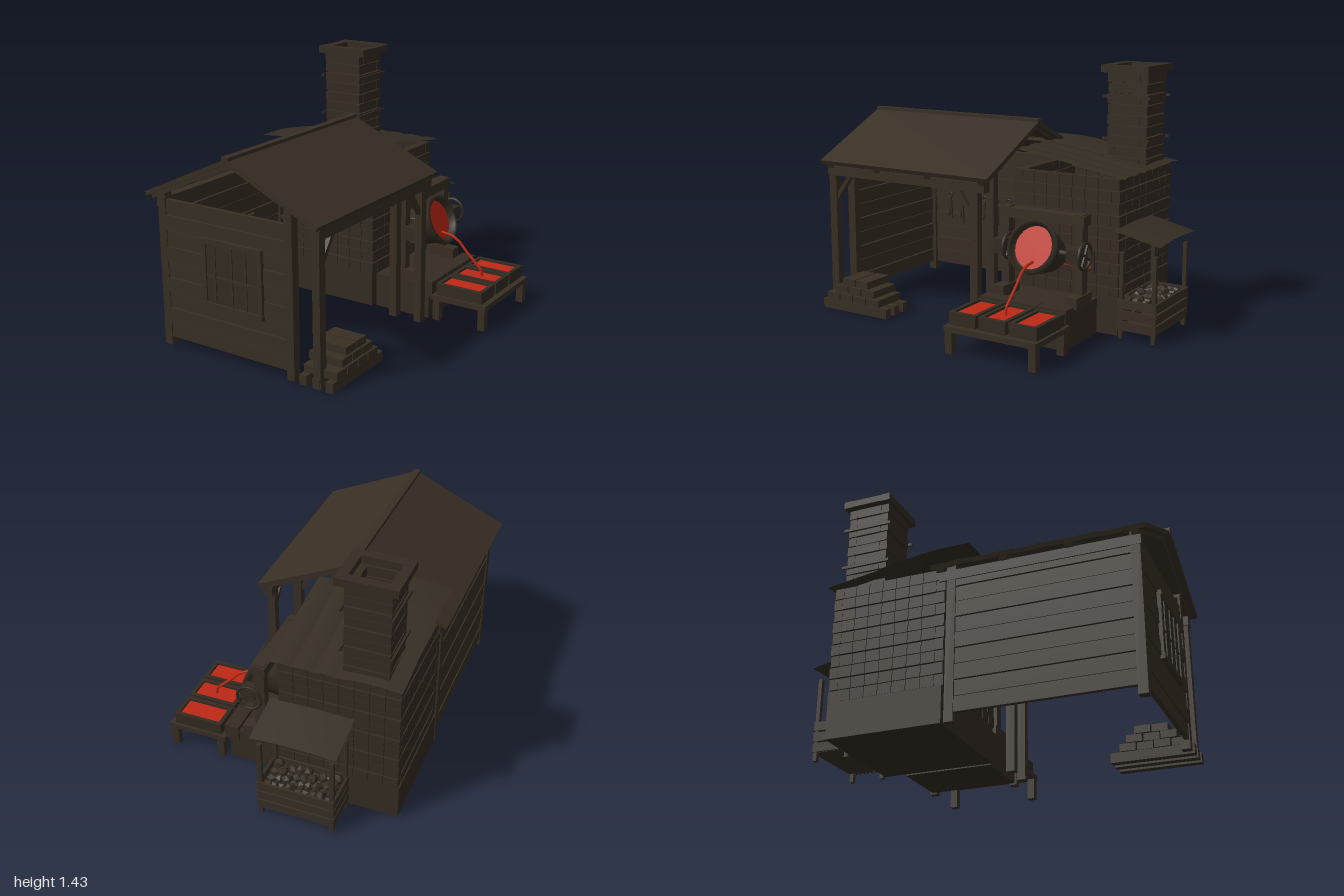
import * as THREE from 'three';

const mat = (name, color) => { const m = new THREE.MeshStandardMaterial({ color }); m.name = name; return m; };

export function createModel() {
  const wood = mat('dark wood', 0x382f24), brick = mat('dark brick', 0x352c22);
  const iron = mat('dark iron', 0x332b22), molten = mat('molten metal', 0xbe2814);
  const sheetMat = mat('roof sheet', 0x352d22);
  sheetMat.side = iron.side = THREE.DoubleSide;
  const root = new THREE.Group();
  const group = (name, parent = root) => { const g = new THREE.Group(); g.name = name; parent.add(g); return g; };
  const add = (parent, name, geo, m) => { const o = new THREE.Mesh(geo, m); o.name = name; parent.add(o); return o; };
  // box given by its two corners
  const box = (p, name, m, x0, x1, y0, y1, z0, z1) => {
    const o = add(p, name, new THREE.BoxGeometry(x1 - x0, y1 - y0, z1 - z0), m);
    o.position.set((x0 + x1) / 2, (y0 + y1) / 2, (z0 + z1) / 2);
    return o;
  };
  // square bar between two points
  const bar = (p, name, m, a, b, w, d = w) => {
    const A = new THREE.Vector3(...a), B = new THREE.Vector3(...b);
    const o = add(p, name, new THREE.BoxGeometry(w, d, A.distanceTo(B)), m);
    o.position.copy(A).add(B).multiplyScalar(0.5);
    o.lookAt(B);
    return o;
  };
  // hollow ring of brick courses
  const brickRing = (p, x0, x1, z0, z1, y0, y1, rows, nx, nz, t) => {
    const g = 0.003, h = (y1 - y0) / rows, dx = (x1 - x0) / nx, dz = (z1 - z0 - 2 * t) / nz;
    for (let r = 0; r < rows; r++) {
      const a = y0 + r * h + g, b = y0 + (r + 1) * h - g, j = r % 2 ? 0.004 : 0;
      for (let i = 0; i < nx; i++) for (const z of [z0 + j, z1 - t - j])
        box(p, 'brick', brick, x0 + i * dx + g / 2, x0 + (i + 1) * dx - g / 2, a, b, z, z + t);
      for (let i = 0; i < nz; i++) for (const x of [x0 + j, x1 - t - j])
        box(p, 'brick', brick, x, x + t, a, b, z0 + t + i * dz + g / 2, z0 + t + (i + 1) * dz - g / 2);
    }
  };

  // Workshop walls: horizontal planks with narrow gaps
  const shed = group('shed');
  const rows = 9, ph = 0.78 / rows;
  for (let i = 0; i < rows; i++) {
    const y0 = 0.05 + i * ph, y1 = y0 + ph - 0.005, j = (i % 2) * 0.005;
    box(shed, 'frontPlank', wood, -0.62, 0.155, y0, y1, 0.925 + j, 0.95 + j);
    box(shed, 'leftPlank', wood, -0.665 + j, -0.64 + j, y0, y1, -0.04, 0.92);
  }
  // Posts, plates and braces
  for (const z of [0.93, -0.05]) {
    box(shed, 'cornerPost', wood, -0.67, -0.62, 0, 0.86, z - 0.025, z + 0.025);
    box(shed, 'innerPost', wood, 0.15, 0.195, 0, 0.9, z - 0.025, z + 0.025);
    box(shed, 'outerPost', wood, 0.312, 0.356, 0, 0.83, z - 0.025, z + 0.025);
    const s = z > 0 ? -1 : 1;
    for (const x of [0.334, -0.63])
      bar(shed, 'brace', wood, [x, 0.65, z + s * 0.02], [x, 0.79, z + s * 0.12], 0.025);
    bar(shed, 'tieBrace', wood, [0.13, 0.87, z], [0.17, 0.82, z], 0.025);
  }
  for (const x of [-0.645, 0.334]) box(shed, 'wallPlate', wood, x - 0.027, x + 0.027, 0.78, 0.835, -0.12, 0.96);

  // Window
  const win = group('window');
  box(win, 'windowPane', iron, -0.35, 0, 0.31, 0.65, 0.956, 0.962);
  for (const y of [0.305, 0.655]) box(win, 'windowRail', wood, -0.375, 0.015, y - 0.014, y + 0.014, 0.95, 0.975);
  for (const x of [-0.36, 0]) box(win, 'windowStile', wood, x - 0.013, x + 0.013, 0.3, 0.66, 0.95, 0.97);
  for (const x of [-0.29, -0.18, -0.09]) box(win, 'muntin', wood, x - 0.005, x + 0.005, 0.31, 0.65, 0.955, 0.968);
  box(win, 'muntin', wood, -0.36, 0, 0.46, 0.47, 0.955, 0.967);

  // Gable roof: planks on the left slope, one plain sheet on the right
  const roof = group('roof');
  const ridge = [-0.17, 1.115], slope = Math.atan2(0.25, 0.545), len = 0.605;
  const roofSlab = (name, s, z0, z1, t, drop) => {
    const o = add(roof, name, new THREE.BoxGeometry(len, t, z1 - z0), wood);
    o.position.set(ridge[0] + s * Math.cos(slope) * len / 2 - s * Math.sin(slope) * drop,
      ridge[1] - Math.sin(slope) * len / 2 - Math.cos(slope) * drop, (z0 + z1) / 2);
    o.rotation.z = -s * slope;
  };
  for (let i = 0; i < 10; i++) {
    const z = -0.15 + i * 0.115;
    roofSlab('roofPlank', -1, z, z + 0.111, 0.024, i % 2 ? 0.012 : 0.015);
  }
  roofSlab('roofSheet', 1, -0.15, 1, 0.026, 0.012);
  for (const s of [-1, 1]) for (const z of [0.94, 0.6, 0.25, -0.1]) roofSlab('rafter', s, z - 0.02, z + 0.02, 0.025, 0.035);
  box(roof, 'ridgeCap', wood, -0.19, -0.15, 1.095, 1.125, -0.15, 1);

  // Tools hanging on the inner left wall
  const tools = group('tools');
  box(tools, 'toolRail', wood, -0.635, -0.615, 0.515, 0.55, 0.22, 0.85);
  [0.77, 0.68, 0.59, 0.505, 0.415, 0.325].forEach((z, i) => {
    const ring = add(tools, 'toolRing', new THREE.TorusGeometry(0.015, 0.005, 6, 12), iron);
    ring.position.set(-0.605, 0.52, z);
    ring.rotation.y = Math.PI / 2;
    bar(tools, 'toolHandle', iron, [-0.605, 0.51, z], [-0.605, 0.36 - (i % 2) * 0.02, z - 0.01], 0.01);
    bar(tools, 'toolJaw', iron, [-0.605, 0.45, z], [-0.605, 0.38, z + 0.015], 0.009);
  });

  // Split-wood stack beside the front post
  const stack = group('woodStack');
  for (const x of [0.25, 0.33, 0.41]) box(stack, 'sleeper', wood, x - 0.022, x + 0.022, 0, 0.055, 0.5, 0.96);
  [4, 3, 2].forEach((n, r) => {
    for (let i = 0; i < n; i++) {
      const z = 0.74 + (i - (n - 1) / 2) * 0.095 - (r ? 0.01 : 0);
      box(stack, 'log', wood, 0.225 + (i % 2) * 0.008, 0.435 - r * 0.008, 0.058 + r * 0.046, 0.1 + r * 0.046, z - 0.044, z + 0.044);
    }
  });

  // Furnace body
  const furnace = group('furnace');
  box(furnace, 'furnaceBase', brick, -0.67, -0.01, 0, 0.2, -0.735, -0.09);
  brickRing(furnace, -0.665, 0, -0.74, -0.085, 0.2, 0.86, 10, 8, 7, 0.05);
  box(furnace, 'tapHole', iron, 0, 0.012, 0.33, 0.45, -0.6, -0.38);
  box(furnace, 'tapGlow', molten, 0.012, 0.016, 0.36, 0.42, -0.58, -0.41);
  for (const z of [-0.44, -0.4]) bar(furnace, 'spoutSide', iron, [0, 0.42, z - 0.02], [0.15, 0.385, z + 0.01], 0.01, 0.04);
  bar(furnace, 'spoutMetal', molten, [0, 0.415, -0.44], [0.15, 0.38, -0.41], 0.03, 0.012);

  // Chimney with cap and through rods
  const chimney = group('chimney');
  brickRing(chimney, -0.595, -0.35, -0.725, -0.48, 0.86, 1.39, 9, 1, 1, 0.045);
  for (const z of [-0.745, -0.515]) box(chimney, 'capSlab', brick, -0.63, -0.305, 1.39, 1.432, z, z + 0.055);
  for (const x of [-0.63, -0.36]) box(chimney, 'capSlab', brick, x, x + 0.055, 1.392, 1.43, -0.69, -0.515);
  for (const y of [1.02, 1.255]) for (const x of [-0.605, -0.338])
    box(chimney, 'ironRod', iron, x - 0.006, x + 0.006, y - 0.008, y + 0.008, -0.745, -0.46);

  // Bowed metal sheets over the furnace and the fuel bin
  const sheet = (p, name, x0, x1, z0, z1, yAt, bow) => {
    const geo = new THREE.PlaneGeometry(1, 1, 10, 6), a = geo.attributes.position;
    for (let i = 0; i < a.count; i++) {
      const u = a.getX(i), v = a.getY(i) + 0.5, z = z0 + v * (z1 - z0);
      a.setXYZ(i, x0 + (u + 0.5) * (x1 - x0), yAt(z) + bow * (1 - 4 * u * u), z);
    }
    // rows run back to front, so reverse the winding to face up
    const ix = geo.index.array;
    for (let i = 0; i < ix.length; i += 3) [ix[i], ix[i + 1]] = [ix[i + 1], ix[i]];
    geo.computeVertexNormals();
    add(p, name, geo, sheetMat);
  };
  const fRoof = group('furnaceRoof');
  const fy = z => Math.min(0.975, 0.948 - 0.167 * (z + 0.15));
  const pitch = z => 0.87 + 0.155 * (z + 0.78);
  sheet(fRoof, 'leftFrontSheet', -0.68, -0.33, -0.48, 0.05, z => Math.min(pitch(z) + 0.006, 0.972), 0.012);
  sheet(fRoof, 'leftBackSheet', -0.68, -0.33, -0.78, -0.46, pitch, 0.012);
  for (const [x0, x1] of [[-0.335, -0.21], [-0.215, -0.09], [-0.095, 0.025]]) {
    sheet(fRoof, 'rightFrontSheet', x0, x1, -0.48, -0.12, z => pitch(z) + 0.004, 0.008);
    sheet(fRoof, 'rightBackSheet', x0, x1, -0.78, -0.46, z => pitch(z) - 0.002, 0.008);
  }

  // Fuel bin behind the furnace
  const bin = group('fuelBin');
  for (const x of [-0.385, 0.015]) for (const z of [-0.77, -0.96])
    box(bin, 'binPost', wood, x - 0.012, x + 0.012, 0, 0.475, z - 0.011, z + 0.011);
  for (let i = 0; i < 3; i++) {
    const y = 0.05 + i * 0.06;
    for (const z of [-0.755, -0.972]) box(bin, 'binSlat', wood, -0.395, 0.025, y, y + 0.05, z - 0.006, z + 0.006);
    for (const x of [-0.395, 0.025]) box(bin, 'binSlat', wood, x - 0.006, x + 0.006, y, y + 0.05, -0.975, -0.755);
  }
  box(bin, 'binFloor', wood, -0.385, 0.015, 0.05, 0.065, -0.965, -0.76);
  for (let i = 0; i < 9; i++) for (let k = 0; k < 4; k++) {
    const lump = add(bin, 'coalLump', new THREE.IcosahedronGeometry(0.03, 0), iron);
    lump.position.set(-0.355 + i * 0.042, 0.185 + ((i * 3 + k * 5) % 4) * 0.008, -0.94 + k * 0.05);
    lump.rotation.set(i, k * 2, i + k);
  }
  sheet(bin, 'binAwning', -0.42, 0.05, -1, -0.73, z => 0.535 + 0.22 * (z + 1), 0.012);

  // Casting platform with a low block kerb
  const platform = group('platform');
  box(platform, 'platformBase', brick, 0.01, 0.36, 0, 0.2, -0.62, -0.11);
  for (let i = 0; i < 3; i++)
    box(platform, 'kerbBlock', brick, 0.3, 0.385, 0.135, 0.225, -0.635 + i * 0.178, -0.462 + i * 0.178);

  // Crucible stand
  const stand = group('crucibleStand');
  for (const z of [-0.15, -0.6]) {
    box(stand, 'standPost', wood, 0.135, 0.195, 0.2, 0.69, z - 0.025, z + 0.025);
    box(stand, 'standFoot', wood, 0.1, 0.27, 0.2, 0.26, z - 0.035, z + 0.035);
    box(stand, 'bearing', iron, 0.19, 0.27, 0.44, 0.52, z - 0.035, z + 0.035);
  }
  box(stand, 'standBeam', wood, 0.125, 0.2, 0.63, 0.685, -0.635, -0.115);
  const axle = add(stand, 'axle', new THREE.CylinderGeometry(0.015, 0.015, 0.48, 10), iron);
  axle.position.set(0.21, 0.48, -0.375);
  axle.rotation.x = Math.PI / 2;
  for (const z of [-0.19, -0.65]) {
    const wheel = group('tiltWheel', stand);
    wheel.position.set(0.215, 0.48, z);
    add(wheel, 'wheelRim', new THREE.TorusGeometry(0.07, 0.009, 6, 20), iron);
    for (const a of [0, Math.PI / 2]) add(wheel, 'wheelSpoke', new THREE.BoxGeometry(0.14, 0.012, 0.01), iron).rotation.z = a + 0.5;
  }

  // Tilted crucible; its own axis is local y
  const crucible = group('crucible');
  crucible.position.set(0.075, 0.42, -0.375);
  crucible.rotation.z = -1.17;
  const prof = [[0, 0], [0.075, 0], [0.1, 0.03], [0.135, 0.2], [0.135, 0.215], [0.148, 0.215], [0.148, 0.24], [0.122, 0.24], [0.115, 0.16], [0, 0.16]];
  add(crucible, 'bucket', new THREE.LatheGeometry(prof.map(p => new THREE.Vector2(...p)), 24), iron);
  add(crucible, 'bucketBand', new THREE.CylinderGeometry(0.13, 0.125, 0.03, 24, 1, true), iron).position.y = 0.13;
  add(crucible, 'meltSurface', new THREE.CylinderGeometry(0.118, 0.118, 0.006, 24), molten).position.y = 0.2;

  // Molten stream into the middle mould
  const path = new THREE.CatmullRomCurve3([[0.29, 0.43], [0.36, 0.42], [0.41, 0.39], [0.46, 0.335], [0.55, 0.25], [0.56, 0.2]]
    .map(p => new THREE.Vector3(p[0], p[1], -0.38)), false, 'catmullrom', 0.2);
  add(root, 'moltenStream', new THREE.TubeGeometry(path, 24, 0.008, 6), molten);

  // Casting table with three moulds
  const table = group('castingTable');
  box(table, 'tableTop', wood, 0.375, 0.722, 0.12, 0.15, -0.655, -0.105);
  for (const x of [0.41, 0.695]) for (const z of [-0.63, -0.13])
    box(table, 'tableLeg', wood, x - 0.021, x + 0.021, 0, 0.12, z - 0.021, z + 0.021);
  for (const z of [-0.56, -0.38, -0.2]) {
    const m = group('mould', table);
    box(m, 'mouldBody', iron, 0.405, 0.69, 0.15, 0.2, z - 0.08, z + 0.08);
    for (const s of [-1, 1]) {
      box(m, 'mouldLongRim', iron, 0.405, 0.69, 0.2, 0.22, z + s * 0.071 - 0.011, z + s * 0.071 + 0.011);
      box(m, 'mouldShortRim', iron, 0.5475 + s * 0.132 - 0.011, 0.5475 + s * 0.132 + 0.011, 0.2, 0.22, z - 0.06, z + 0.06);
    }
    box(m, 'castMetal', molten, 0.427, 0.668, 0.2, 0.208, z - 0.06, z + 0.06);
  }
  return root;
}
